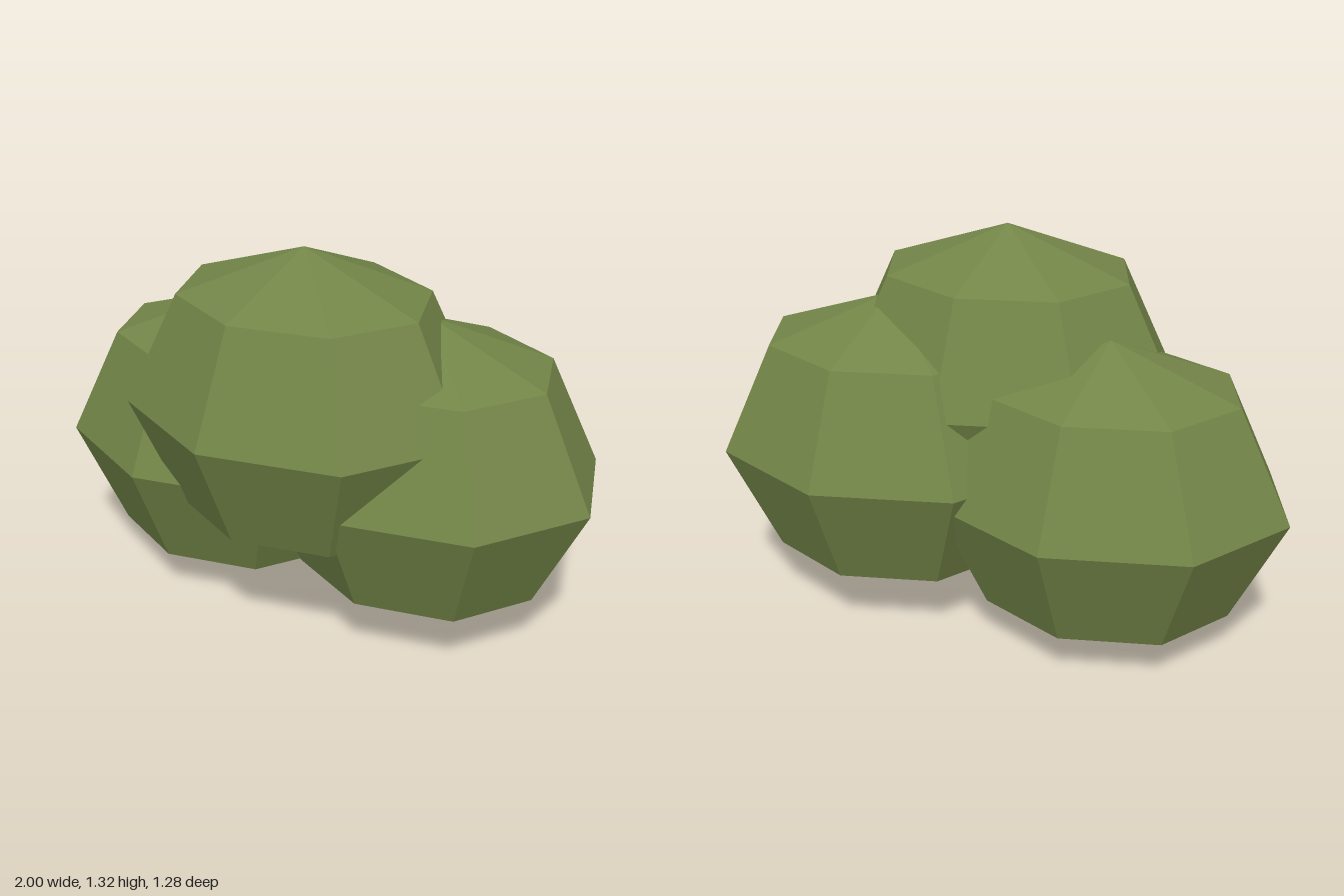
import * as THREE from 'three';

export function createModel() {
  const model = new THREE.Group();
  model.name = 'bush';

  const leafGreen = new THREE.MeshStandardMaterial({ color: 0x738548, flatShading: true });
  leafGreen.name = 'leaf green';

  // One faceted, slightly squashed ball of foliage shared by all clumps
  const clump = new THREE.SphereGeometry(0.616, 8, 4).toNonIndexed();
  clump.scale(1, 0.837, 0.857);
  clump.computeVertexNormals();

  // Overlapping clumps: name and centre
  const clumps = [
    ['rightClump', -0.384, 0.52, -0.051],
    ['leftClump', 0.384, 0.585, -0.114],
    ['topClump', 0.06, 0.805, 0.11],
  ];
  for (const [name, x, y, z] of clumps) {
    const mesh = new THREE.Mesh(clump, leafGreen);
    mesh.name = name;
    mesh.position.set(x, y, z);
    model.add(mesh);
  }
  return model;
}
